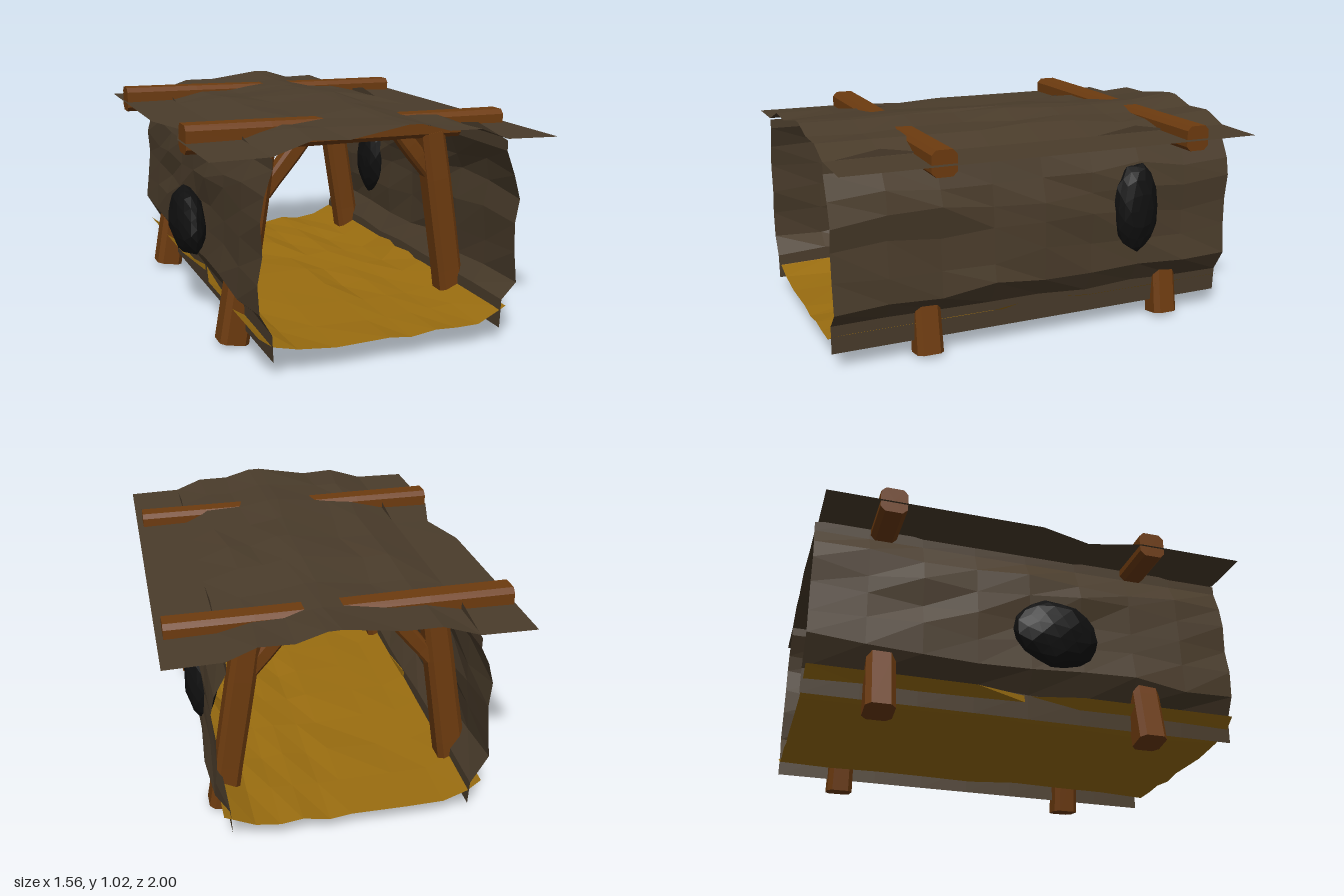
import * as THREE from 'three';

const mat = (color, side = THREE.FrontSide) =>
  new THREE.MeshStandardMaterial({ color, flatShading: true, side });
const rockWall = mat(0x4a3c2b, THREE.DoubleSide);
const dirt = mat(0x9a6d10, THREE.DoubleSide);
const wood = mat(0x6d3b0f);
const coal = mat(0x101010);

// repeatable noise in -1..1, the same for equal inputs
function noise(a, b, c = 0) {
  const s = Math.sin(a * 12.99 + b * 78.23 + c * 37.72) * 43758.55;
  return (s - Math.floor(s)) * 2 - 1;
}

// rough sheet: a cross-section [x, y] swept along z in eight rows
function sheet(name, profile, zFront, zBack, material, adjust) {
  const n = profile.length, rows = 8;
  const geo = new THREE.PlaneGeometry(1, 1, n - 1, rows);
  const pos = geo.attributes.position;
  for (let j = 0; j <= rows; j++) {
    const z = zFront + (zBack - zFront) * j / rows;
    for (let i = 0; i < n; i++) {
      const p = new THREE.Vector3(profile[i][0], profile[i][1], z);
      adjust(p, i, j);
      pos.setXYZ(j * n + i, p.x, p.y, p.z);
    }
  }
  geo.computeVertexNormals();
  const mesh = new THREE.Mesh(geo, material);
  mesh.name = name;
  return mesh;
}

// hewn timber with chamfered corners between two points
function timber(name, from, to, width, depth, seed, endScale = 1) {
  const a = new THREE.Vector3(...from), b = new THREE.Vector3(...to);
  const geo = new THREE.CylinderGeometry(1, 1, a.distanceTo(b), 8, 4, false, Math.PI / 8);
  const pos = geo.attributes.position, len = a.distanceTo(b);
  const square = v => Math.sign(v) * Math.sqrt(Math.abs(v));
  for (let k = 0; k < pos.count; k++) {
    const y = pos.getY(k), t = y / len + 0.5;
    const s = THREE.MathUtils.lerp(1, endScale, t) * (1 + 0.05 * noise(Math.round(t * 4), seed));
    pos.setX(k, square(pos.getX(k)) * width / 2 * s);
    pos.setZ(k, square(pos.getZ(k)) * depth / 2 * s);
  }
  geo.computeVertexNormals();
  const mesh = new THREE.Mesh(geo, wood);
  mesh.name = name;
  mesh.position.copy(a).lerp(b, 0.5);
  mesh.quaternion.setFromUnitVectors(new THREE.Vector3(0, 1, 0), b.sub(a).normalize());
  return mesh;
}

// lumpy ellipsoid boulder
function boulder(name, center, radii, tilt) {
  const geo = new THREE.IcosahedronGeometry(1, 2);
  const pos = geo.attributes.position, v = new THREE.Vector3();
  for (let k = 0; k < pos.count; k++) {
    v.fromBufferAttribute(pos, k);
    const r = 1 + 0.05 * noise(Math.round(v.x * 50), Math.round(v.y * 50), Math.round(v.z * 50));
    pos.setXYZ(k, v.x * r * radii[0], v.y * r * radii[1], v.z * r * radii[2]);
  }
  geo.computeVertexNormals();
  const mesh = new THREE.Mesh(geo, coal);
  mesh.name = name;
  mesh.position.set(...center);
  mesh.rotation.x = tilt;
  return mesh;
}

// trestle: crossbeam, splayed legs and diagonal braces
function frame(name, z) {
  const g = new THREE.Group();
  g.name = name;
  g.add(timber('crossbeam', [-0.77, 0.942, 0], [0.75, 0.93, 0], 0.132, 0.13, 1, 0.87));
  g.add(timber('rightLeg', [-0.575, 0.015, 0.012], [-0.425, 0.9, 0.005], 0.136, 0.132, 2, 0.88));
  g.add(timber('leftLeg', [0.535, 0.016, 0.012], [0.395, 0.9, 0.005], 0.136, 0.132, 3, 0.88));
  for (const s of [-1, 1])
    g.add(timber(s < 0 ? 'rightBrace' : 'leftBrace',
      [s * 0.42, 0.68, 0], [s * 0.24, 0.9, 0], 0.075, 0.08, 4 + s));
  g.position.z = z;
  return g;
}

export function createModel() {
  const group = new THREE.Group();
  group.name = 'mineTunnel';

  // roof, with a notch in its right edge and a dip over the rear beam
  const roof = [[-0.78, 0.93], [-0.53, 0.932], [-0.36, 0.985], [-0.2, 0.982], [0.06, 1.018],
    [0.12, 1.015], [0.25, 0.985], [0.4, 0.985], [0.53, 0.932], [0.78, 0.925]];
  group.add(sheet('roof', roof, 1, -0.985, rockWall, (p, i, j) => {
    if (i === 0 && j === 3) p.x += 0.07;
    if (i > 1 && i < 8) {
      p.y += 0.008 * noise(i, j, 1) - (j === 7 || j === 6 ? 0.018 : 0);
      if (j % 8) p.x += 0.035 * noise(i, j, 2);
    }
  }));

  // walls, crests at chosen rows poke through the roof
  const wall = [[0.53, 0.08], [0.535, 0.2], [0.6, 0.3], [0.592, 0.43], [0.585, 0.56],
    [0.59, 0.68], [0.57, 0.78], [0.528, 0.88], [0.528, 0.925]];
  for (const s of [-1, 1]) {
    const crests = s < 0 ? [2, 7] : [1, 6];
    group.add(sheet(s < 0 ? 'rightWall' : 'leftWall', wall.map(([x, y]) => [s * x, y]),
      1, s < 0 ? -1 : -0.985, rockWall, (p, i, j) => {
        if (i > 1 && i < 7) {
          p.x += 0.014 * noise(i, j, s + 5);
          p.y += 0.025 * noise(i, j, s + 9);
        }
        if (i === 1) p.y += 0.015 * noise(j, 3, s);
        if (i === 8 && crests.includes(j)) p.y += 0.04;
      }));
  }

  // floor, its edges turned up and showing in places outside the walls
  const floor = [[-0.59, 0.19], [-0.53, 0.15], [-0.42, 0.11], [-0.25, 0.104], [0, 0.1],
    [0.1, 0.09], [0.22, 0.108], [0.32, 0.102], [0.43, 0.115], [0.565, 0.175]];
  group.add(sheet('floor', floor, 0.99, -0.99, dirt, (p, i, j) => {
    if (i === 0 || i === 9) p.x *= j === 4 ? 0.9 : 1;
    else p.y += 0.01 * noise(i, j, 4);
  }));

  group.add(frame('frontFrame', 0.55), frame('rearFrame', -0.685));

  // boulders set in the walls
  group.add(boulder('leftBoulder', [0.585, 0.585, -0.47], [0.075, 0.215, 0.115], 0.05));
  group.add(boulder('rightBoulder', [-0.65, 0.46, 0.1], [0.077, 0.16, 0.2], 0.15));
  return group;
}
